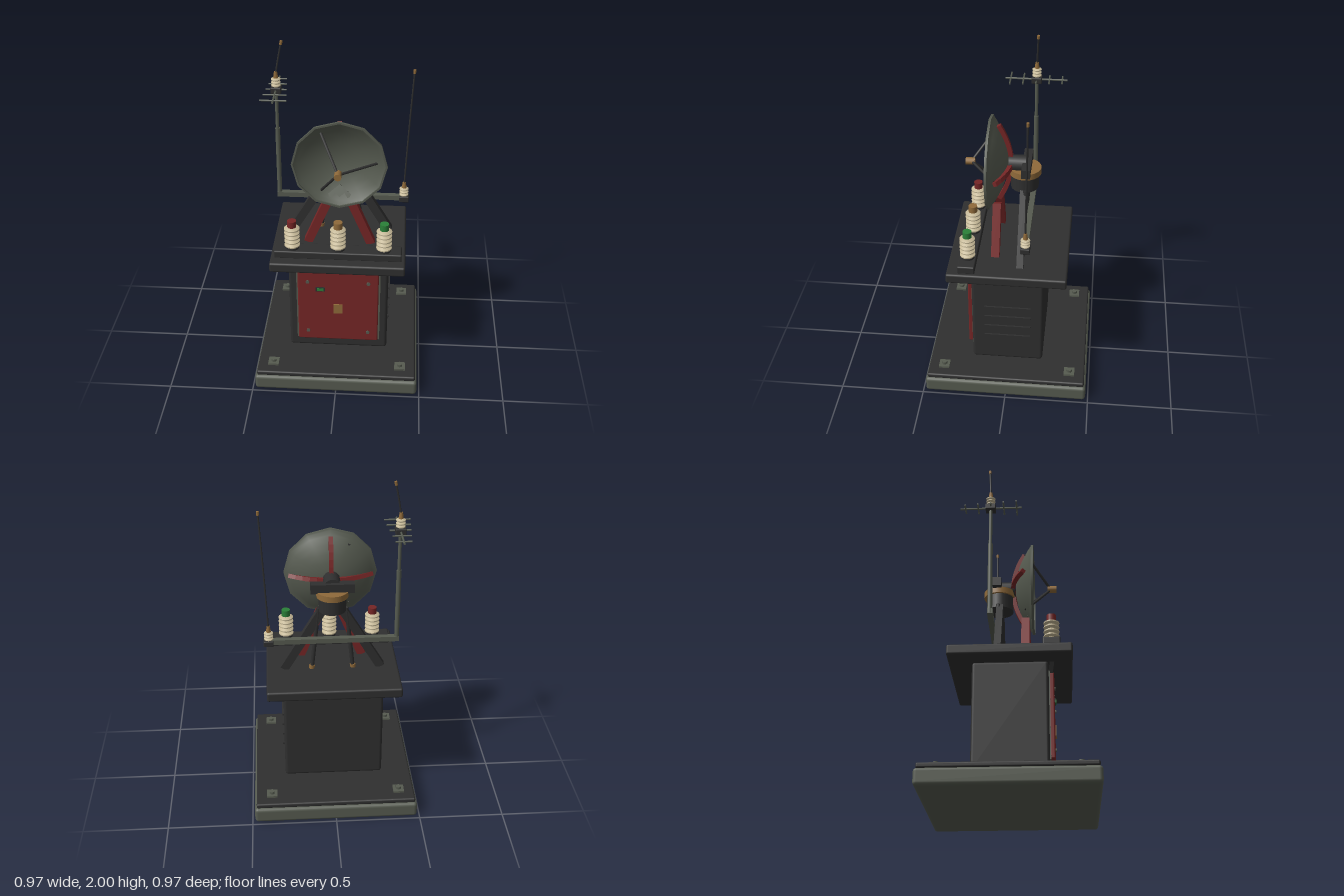
import * as THREE from 'three';
import { toCreasedNormals } from 'three/addons/utils/BufferGeometryUtils.js';
import { RoundedBoxGeometry } from 'three/addons/geometries/RoundedBoxGeometry.js';

const mat = (name, color) => Object.assign(new THREE.MeshStandardMaterial({ color }), { name });
const V = (x, y, z) => new THREE.Vector3(x, y, z);

export function createModel() {
  const dark = mat('charcoal metal', 0x2f2f2f);
  const grey = mat('grey metal', 0x565b50);
  const red = mat('dark red paint', 0x762626);
  const brass = mat('brass', 0x8f6a3a);
  const cream = mat('ceramic cream', 0xc4b796);
  const green = mat('green lamp', 0x2a8038);
  const root = new THREE.Group();
  root.name = 'radarStation';

  const add = (name, geo, material, x = 0, y = 0, z = 0, parent = root) => {
    const m = new THREE.Mesh(geo, material);
    m.name = name;
    m.position.set(x, y, z);
    parent.add(m);
    return m;
  };
  // box from its limits, rounded when r > 0
  const block = (name, material, [x0, x1], [y0, y1], [z0, z1], r = 0) => {
    const size = [x1 - x0, y1 - y0, z1 - z0];
    const geo = r ? new RoundedBoxGeometry(...size, 2, r) : new THREE.BoxGeometry(...size);
    return add(name, geo, material, (x0 + x1) / 2, (y0 + y1) / 2, (z0 + z1) / 2);
  };
  const aim = (mesh, a, b) => {
    mesh.position.copy(a).lerp(b, 0.5);
    mesh.quaternion.setFromUnitVectors(V(0, 1, 0), b.clone().sub(a).normalize());
    return mesh;
  };
  const rod = (name, material, a, b, r0, r1 = r0, sides = 8) =>
    aim(add(name, new THREE.CylinderGeometry(r1, r0, a.distanceTo(b), sides), material), a, b);
  const beam = (name, material, a, b, w, d) =>
    aim(add(name, new THREE.BoxGeometry(w, a.distanceTo(b), d), material), a, b);

  // ribbed ceramic insulator
  const insulator = (name, x, y, z, h, r, ribs) => {
    const p = [new THREE.Vector2(0, 0)];
    const s = h / ribs;
    for (let i = 0; i < ribs; i++) {
      p.push(new THREE.Vector2(r * 0.62, i * s), new THREE.Vector2(r, (i + 0.3) * s),
        new THREE.Vector2(r, (i + 0.55) * s), new THREE.Vector2(r * 0.62, (i + 0.9) * s));
    }
    p.push(new THREE.Vector2(0, h));
    add(name, toCreasedNormals(new THREE.LatheGeometry(p, 16), 0.6), cream, x, y, z);
  };

  // base slab and corner anchor bolts
  block('baseSlab', grey, [-0.485, 0.485], [0.005, 0.1], [-0.485, 0.485], 0.02);
  block('basePlate', dark, [-0.473, 0.473], [0.1, 0.13], [-0.473, 0.473], 0.01);
  for (const x of [-0.38, 0.38]) for (const z of [-0.38, 0.38]) {
    block('anchorPlate', grey, [x - 0.032, x + 0.032], [0.13, 0.142], [z - 0.032, z + 0.032]);
    add('anchorBolt', new THREE.CylinderGeometry(0.017, 0.017, 0.016, 6), grey, x, 0.15, z);
  }

  // cabinet, door and vents
  block('cabinet', dark, [-0.295, 0.295], [0.14, 0.762], [-0.21, 0.215], 0.018);
  block('cabinetNeck', dark, [-0.24, 0.24], [0.75, 0.78], [-0.17, 0.19]);
  block('doorFrame', grey, [-0.25, 0.25], [0.208, 0.722], [0.212, 0.221]);
  block('door', red, [-0.24, 0.24], [0.215, 0.715], [0.216, 0.245], 0.008);
  block('doorLatch', brass, [-0.026, 0.026], [0.418, 0.482], [0.24, 0.252]);
  block('statusLampFrame', dark, [-0.132, -0.078], [0.575, 0.603], [0.24, 0.25]);
  block('statusLamp', green, [-0.125, -0.085], [0.58, 0.598], [0.245, 0.254]);
  for (const x of [-0.18, 0.18]) for (const y of [0.28, 0.64])
    rod('doorScrew', grey, V(x, y, 0.24), V(x, y, 0.252), 0.011);
  for (let i = 0; i < 4; i++)
    block('ventSlat', dark, [0.29, 0.305], [0.32 + i * 0.071, 0.33 + i * 0.071], [-0.135, 0.14]);
  for (const x of [-1, 0, 1])
    beam('deckBrace', dark, V(x * 0.225, 0.715, 0.225), V(x * 0.25, 0.775, 0.235), 0.028, 0.025);

  // deck and terminal insulators
  block('deck', dark, [-0.39, 0.39], [0.77, 0.83], [-0.345, 0.35], 0.012);
  block('terminalRail', dark, [-0.368, 0.368], [0.825, 0.874], [0.185, 0.285], 0.008);
  [[-0.265, red], [0, brass], [0.265, green]].forEach(([x, cap]) => {
    rod('terminalBase', dark, V(x, 0.87, 0.235), V(x, 0.885, 0.235), 0.04, 0.04, 16);
    insulator('terminalInsulator', x, 0.883, 0.235, 0.135, 0.045, 5);
    rod('terminalCap', cap, V(x, 1.01, 0.235), V(x, 1.055, 0.235), 0.026, 0.026, 16);
  });

  // support legs and actuator rods
  for (const s of [-1, 1]) {
    beam('rearLeg', dark, V(s * 0.285, 0.83, -0.07), V(s * 0.055, 1.22, -0.07), 0.05, 0.04);
    beam('frontLeg', red, V(s * 0.185, 0.83, 0.083), V(s * 0.062, 1.125, 0.083), 0.05, 0.048);
    rod('actuatorRod', dark, V(s * 0.12, 0.84, -0.08), V(s * 0.08, 1.23, -0.08), 0.012);
    rod('actuatorFoot', brass, V(s * 0.122, 0.828, -0.08), V(s * 0.12, 0.85, -0.08), 0.017);
  }

  // turntable and dish mount
  rod('turntableDrum', dark, V(0, 1.215, -0.072), V(0, 1.31, -0.072), 0.08, 0.08, 24);
  rod('turntableRing', brass, V(0, 1.305, -0.075), V(0, 1.342, -0.075), 0.092, 0.092, 32);
  block('mountYoke', dark, [-0.125, 0.125], [1.335, 1.39], [-0.11, -0.06]);
  rod('mountHub', dark, V(0, 1.362, -0.087), V(0, 1.362, 0.02), 0.05, 0.05, 16);

  // dish
  const cy = 1.362;
  const dishZ = r => 0.022 + 0.1 * (r / 0.27) ** 2;
  const profile = [];
  const steps = [0, 0.05, 0.1, 0.15, 0.2, 0.24, 0.262];
  steps.forEach(r => profile.push(new THREE.Vector2(r, dishZ(r))));
  profile.push(new THREE.Vector2(0.273, 0.12), new THREE.Vector2(0.273, 0.134), new THREE.Vector2(0.262, 0.134));
  [...steps].reverse().forEach(r => profile.push(new THREE.Vector2(r, dishZ(r) + 0.008)));
  const dish = new THREE.LatheGeometry(profile, 12).rotateX(Math.PI / 2);
  add('dish', toCreasedNormals(dish, 0.6), grey, 0, cy, 0);

  // curved ribs behind the dish
  const ribZ = r => 0.006 + 0.07 * (r / 0.24) ** 2;
  for (let k = 0; k < 4; k++) {
    const c = Math.cos(k * Math.PI / 2), s = Math.sin(k * Math.PI / 2);
    const at = r => V(c * r, cy + s * r, ribZ(r));
    for (let i = 0; i < 6; i++) beam('dishRib', red, at(i * 0.04), at(i * 0.04 + 0.041), 0.025, 0.025);
  }

  // feed horn on three struts
  for (let k = 0; k < 3; k++) {
    const a = k * Math.PI * 2 / 3;
    rod('feedStrut', dark, V(Math.cos(a) * 0.215, cy + Math.sin(a) * 0.215, dishZ(0.215)), V(0, cy, 0.235), 0.008);
  }
  rod('feedHorn', brass, V(0, cy, 0.215), V(0, cy, 0.268), 0.021, 0.021, 12);

  // chevron plate inside the lower dish
  const chev = new THREE.Shape([[-0.075, -0.02], [0, 0.045], [0.075, -0.02], [0.045, -0.035], [0.028, -0.005],
    [0, -0.03], [-0.028, -0.005], [-0.045, -0.035]].map(p => new THREE.Vector2(...p)));
  const plate = add('dishBracket', new THREE.ExtrudeGeometry(chev, { depth: 0.008, bevelEnabled: false }),
    grey, 0, 1.167, dishZ(0.195) + 0.01);
  plate.rotation.x = -0.48;

  // aerial crossbar, mast and end box
  const az = -0.107;
  block('aerialCrossbar', grey, [-0.385, 0.37], [1.018, 1.048], [-0.122, -0.09]);
  block('aerialBox', dark, [0.342, 0.4], [1.01, 1.046], [-0.133, -0.08], 0.005);
  rod('mastLower', grey, V(-0.372, 1.02, az), V(-0.372, 1.47, az), 0.014, 0.014, 10);
  rod('mastUpper', grey, V(-0.372, 1.45, az), V(-0.372, 1.74, az), 0.01, 0.01, 10);

  // directional aerial on the mast
  block('aerialClamp', dark, [-0.402, -0.342], [1.694, 1.73], [-0.137, -0.077], 0.005);
  rod('aerialBoom', grey, V(-0.372, 1.712, -0.285), V(-0.372, 1.712, 0.075), 0.006);
  for (let i = 0; i < 5; i++) {
    const half = 0.045 + i * 0.0075, z = -0.255 + i * 0.075;
    rod('aerialElement', grey, V(-0.372 - half, 1.712, z), V(-0.372 + half, 1.712, z), 0.005);
  }

  // whip aerials with insulators and brass tips
  const whip = (x, y, h, tip) => {
    insulator('whipInsulator', x, y, az, h, 0.027, 3);
    rod('whipSocket', brass, V(x, y + h - 0.005, az), V(x, y + h + 0.035, az), 0.015, 0.009);
    const start = V(x, y + h + 0.02, az);
    const bend = start.clone().lerp(tip, 0.5).add(V(-0.003, 0, 0));
    const curve = new THREE.QuadraticBezierCurve3(start, bend, tip);
    add('whip', new THREE.TubeGeometry(curve, 8, 0.0055, 6), dark);
    rod('whipTip', brass, curve.getPoint(1 - 0.022 / curve.getLength()), tip, 0.008);
  };
  whip(-0.372, 1.73, 0.055, V(-0.335, 2.0, -0.115));
  whip(0.37, 1.046, 0.055, V(0.405, 1.848, -0.117));
  return root;
}
